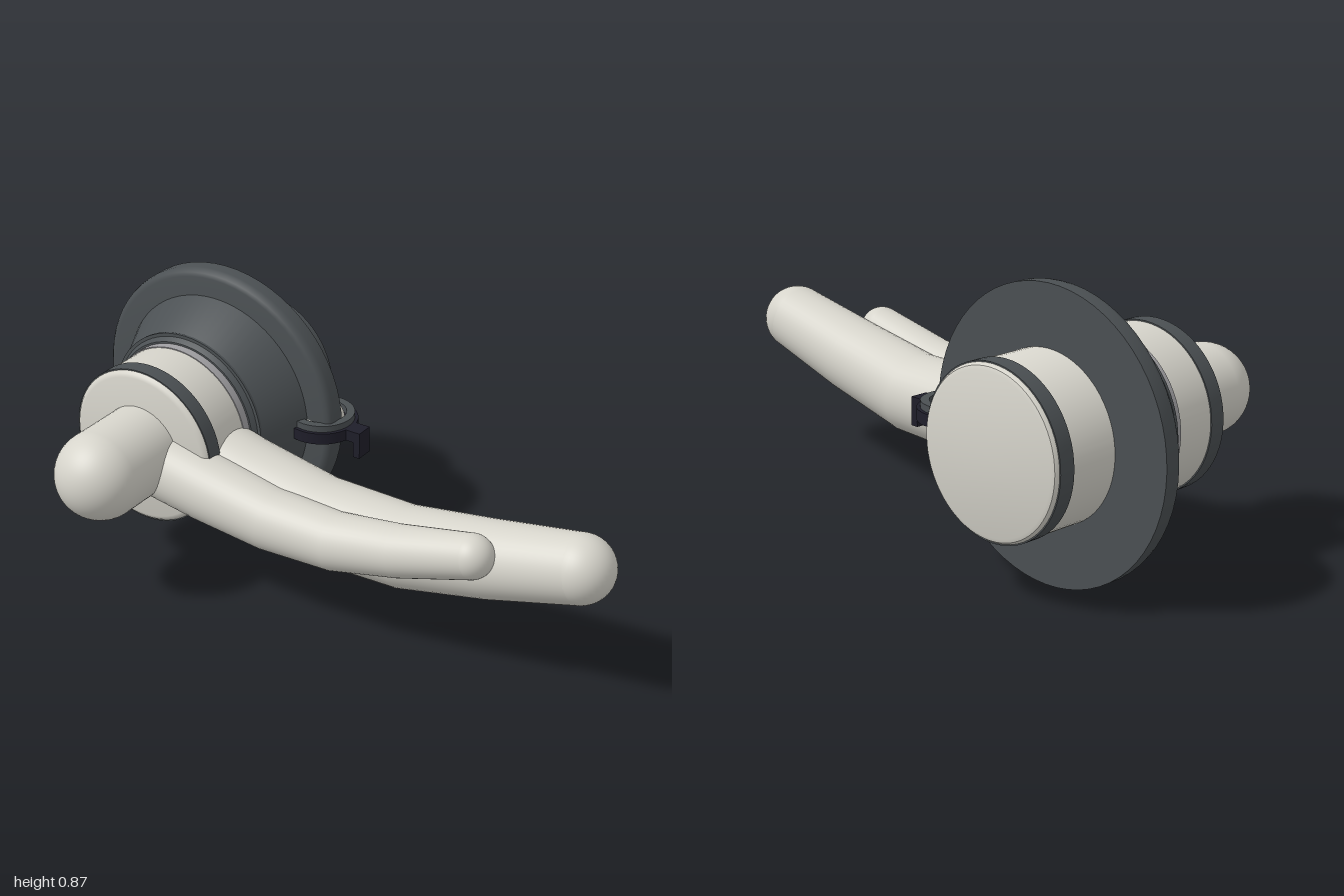
import * as THREE from 'three';
import { toCreasedNormals } from 'three/addons/utils/BufferGeometryUtils.js';

const material = (name, color) => {
  const m = new THREE.MeshStandardMaterial({ color });
  m.name = name;
  return m;
};

// Hub axis runs along z through this point
const HX = -0.567, HY = 0.438;

export function createModel() {
  const cream = material('cream', 0xd6d4cb);
  const slate = material('slate', 0x4b5053);
  const black = material('black', 0x1f1e2a);
  const grey = material('midGrey', 0xa09fa2);
  const root = new THREE.Group();
  root.name = 'leverAssembly';

  const add = (name, geometry, mat, x = 0, y = 0, z = 0) => {
    const mesh = new THREE.Mesh(geometry, mat);
    mesh.name = name;
    mesh.position.set(x, y, z);
    root.add(mesh);
    return mesh;
  };

  // Turned part: profile of [radius, height] pairs, lower to upper on the outside
  const turned = (profile, segments = 64) => toCreasedNormals(
    new THREE.LatheGeometry(profile.map(([r, h]) => new THREE.Vector2(r, h)), segments), 0.6);
  const onHub = (name, mat, profile) =>
    add(name, turned(profile).rotateX(Math.PI / 2), mat, HX, HY, 0);

  // Hub body, with rounded cream end caps
  onHub('hubBody', cream, [
    [0, -0.515], [0.235, -0.515], [0.246, -0.511], [0.253, -0.5],
    [0.253, 0.163], [0.246, 0.172], [0.235, 0.176], [0, 0.176],
  ]);
  const band = (name, mat, r, z0, z1) =>
    onHub(name, mat, [[0.24, z0], [r, z0], [r, z1], [0.24, z1]]);
  band('rearBand', slate, 0.257, -0.5, -0.448);
  band('frontBand', slate, 0.257, 0.112, 0.163);
  band('collarBand', grey, 0.256, -0.046, -0.018);

  // Flange plate with a rounded front rim, and the cone in front of it
  onHub('flange', slate, [
    [0.2, -0.285], [0.437, -0.285], [0.437, -0.245], [0.434, -0.232],
    [0.426, -0.223], [0.413, -0.219], [0.2, -0.219],
  ]);
  onHub('cone', slate, [[0.352, -0.222], [0.281, -0.073], [0.262, -0.046], [0.24, -0.046]]);
  band('coneLip', slate, 0.284, -0.071, -0.062);

  // Domed peg on the front of the hub
  add('frontPeg', new THREE.CapsuleGeometry(0.14, 0.275, 20, 48).rotateX(Math.PI / 2),
    cream, HX, HY, 0.2375);

  // Tapered tube through [x, y, z, radius] stations, closed by a ball at each end
  const lever = (name, stations) => {
    const sides = 40;
    const centres = stations.map(s => new THREE.Vector3(s[0], s[1], s[2]));
    const positions = [], index = [];
    stations.forEach((s, i) => {
      const before = centres[Math.max(i - 1, 0)];
      const after = centres[Math.min(i + 1, centres.length - 1)];
      const t = after.clone().sub(before).normalize();
      const n = new THREE.Vector3(-t.y, t.x, 0).normalize();
      const b = t.clone().cross(n);
      for (let j = 0; j < sides; j++) {
        const a = j / sides * Math.PI * 2;
        const p = centres[i].clone()
          .addScaledVector(n, Math.cos(a) * s[3])
          .addScaledVector(b, Math.sin(a) * s[3]);
        positions.push(p.x, p.y, p.z);
        if (i < stations.length - 1) {
          const k = i * sides + j, l = i * sides + (j + 1) % sides;
          index.push(k, l, k + sides, l, l + sides, k + sides);
        }
      }
    });
    const g = new THREE.BufferGeometry();
    g.setAttribute('position', new THREE.Float32BufferAttribute(positions, 3));
    g.setIndex(index);
    g.computeVertexNormals();
    add(name, g, cream);
    for (const [x, y, z, r] of [stations[0], stations.at(-1)]) {
      add(name + 'End', new THREE.SphereGeometry(r, 40, 28), cream, x, y, z);
    }
  };
  lever('longLever', [
    [-0.55, 0.42, 0.028, 0.138], [-0.28, 0.35, 0.028, 0.137], [0.0, 0.303, 0.03, 0.134],
    [0.31, 0.31, 0.033, 0.128], [0.6, 0.37, 0.037, 0.119], [0.89, 0.441, 0.04, 0.105],
  ]);
  lever('shortLever', [
    [-0.55, 0.41, 0.155, 0.114], [-0.32, 0.365, 0.155, 0.107], [-0.09, 0.331, 0.155, 0.098],
    [0.14, 0.332, 0.155, 0.09], [0.36, 0.375, 0.155, 0.08], [0.602, 0.441, 0.155, 0.068],
  ]);

  // Small side knob and the ring around it
  const KX = -0.207, KZ = -0.287;
  add('sideKnob', new THREE.CapsuleGeometry(0.073, 0.16, 14, 36).rotateZ(Math.PI / 2),
    cream, KX - 0.08, HY, KZ);
  const ring = (name, mat, inner, outer, y0, y1) => add(name, turned([
    [inner, y0], [outer, y0], [outer, y1], [inner, y1], [inner, y0],
  ], 40), mat, KX, 0, KZ);
  ring('clipRing', black, 0.078, 0.115, 0.41, 0.447);
  ring('clipRingTop', slate, 0.078, 0.104, 0.447, 0.468);

  // Hooked tab on the ring
  add('clipArm', new THREE.BoxGeometry(0.06, 0.037, 0.058), black, -0.076, 0.4285, KZ + 0.002);
  add('clipHook', new THREE.BoxGeometry(0.024, 0.052, 0.058), black, -0.058, 0.385, KZ + 0.002);

  return root;
}
